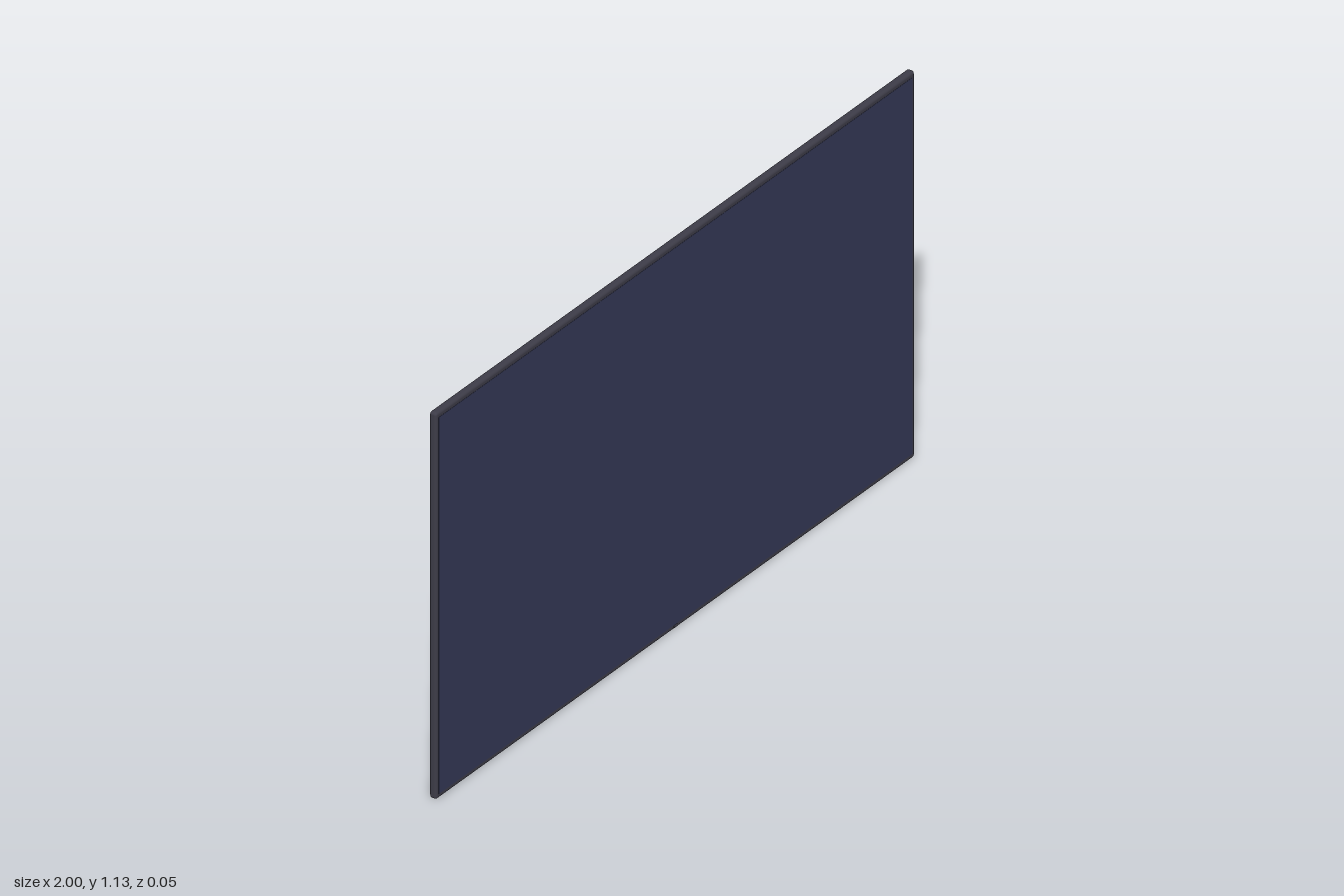
import * as THREE from 'three';
import { RoundedBoxGeometry } from 'three/addons/geometries/RoundedBoxGeometry.js';

export function createModel() {
  const group = new THREE.Group();
  const casing = new THREE.MeshStandardMaterial({ color: 0x3d3c48 });
  casing.name = 'dark grey casing';
  const glass = new THREE.MeshStandardMaterial({ color: 0x343856 });
  glass.name = 'navy screen';

  // Softly rounded slab given by its height range and depth range, centred on x
  function slab(name, width, y0, y1, z0, z1, radius) {
    const mesh = new THREE.Mesh(
      new RoundedBoxGeometry(width, y1 - y0, z1 - z0, 3, radius), casing);
    mesh.name = name;
    mesh.position.set(0, (y0 + y1) / 2, (z0 + z1) / 2);
    group.add(mesh);
  }

  slab('displayPanel', 2, 0, 1.127, 0.004, 0.026, 0.008);
  slab('rearHousing', 1.36, 0.168, 0.89, -0.005, 0.015, 0.005);
  slab('wallMountPlate', 0.45, 0.402, 0.728, -0.027, -0.006, 0.005);
  // Hidden joint between the housing and the mount plate
  slab('mountSpacer', 0.4, 0.43, 0.70, -0.01, 0, 0.002);
  // Small sensor bump under the screen
  slab('sensor', 0.016, 0.004, 0.012, 0.018, 0.027, 0.002);

  // Screen face, leaving a slim bezel
  const screen = new THREE.Mesh(new THREE.BoxGeometry(1.978, 1.098, 0.002), glass);
  screen.name = 'screen';
  screen.position.set(0, 0.563, 0.0256);
  group.add(screen);

  return group;
}
